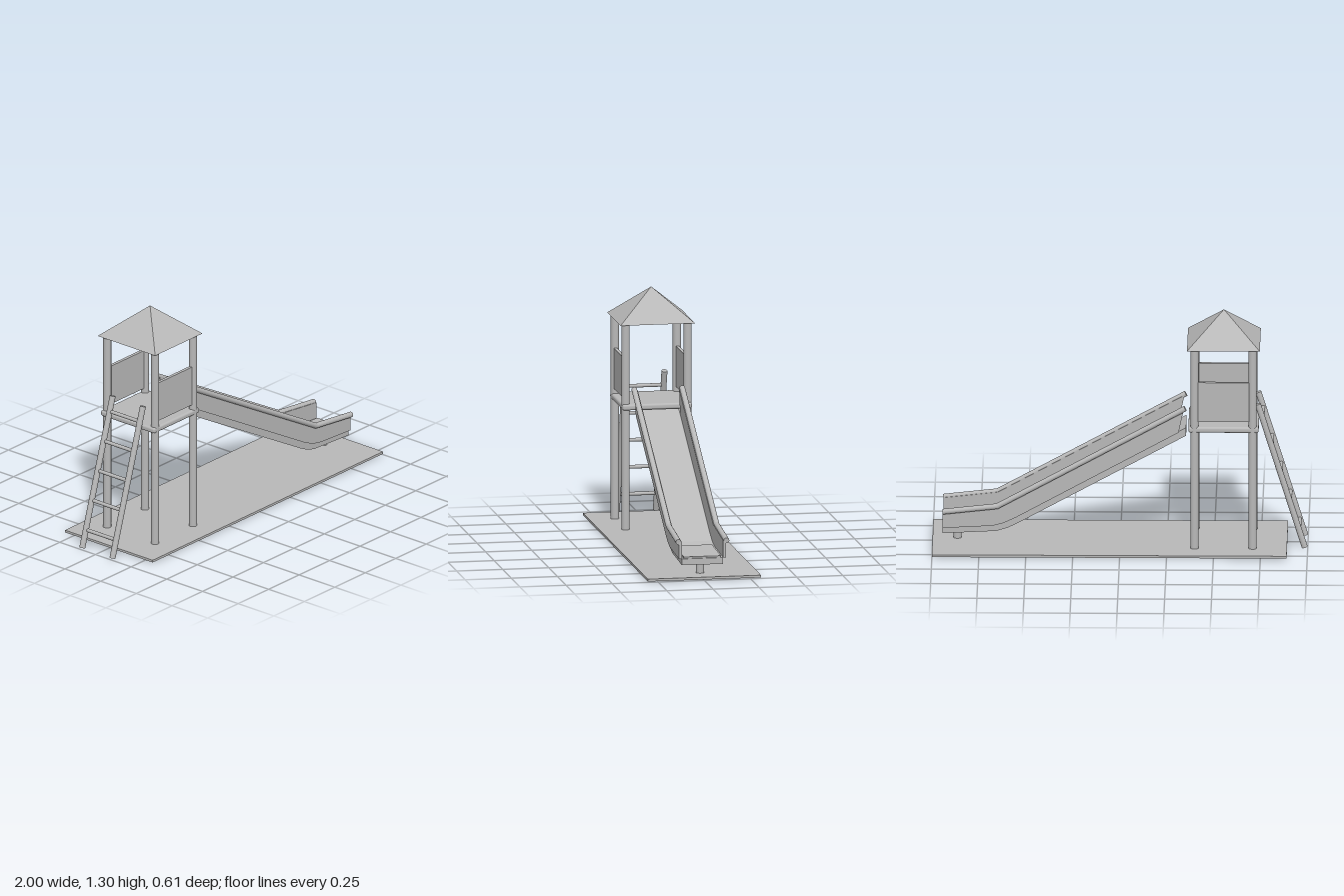
import * as THREE from 'three';
import { RoundedBoxGeometry } from 'three/addons/geometries/RoundedBoxGeometry.js';

export function createModel() {
  const model = new THREE.Group();
  model.name = 'playgroundSlide';
  const grey = new THREE.MeshStandardMaterial({ color: 0xb8b8b8 });
  grey.name = 'plainGrey';

  const add = (name, geometry, x = 0, y = 0, z = 0) => {
    const mesh = new THREE.Mesh(geometry, grey);
    mesh.name = name;
    mesh.position.set(x, y, z);
    model.add(mesh);
    return mesh;
  };
  // Round bar between two points
  const rod = (name, a, b, r) => {
    const from = new THREE.Vector3(...a), to = new THREE.Vector3(...b);
    const dir = to.clone().sub(from);
    const mesh = add(name, new THREE.CylinderGeometry(r, r, dir.length(), 24));
    mesh.position.copy(from).add(to).multiplyScalar(0.5);
    mesh.quaternion.setFromUnitVectors(new THREE.Vector3(0, 1, 0), dir.normalize());
  };
  // Side outline in x, y given a thickness along z
  const slab = (name, points, z, depth) => {
    const shape = new THREE.Shape(points.map(([x, y]) => new THREE.Vector2(x, y)));
    add(name, new THREE.ExtrudeGeometry(shape, { depth, bevelEnabled: false }), 0, 0, z - depth / 2);
  };

  // Ground plate
  add('groundPlate', new THREE.BoxGeometry(1.89, 0.013, 0.614), 0.055, 0.0115, 0);

  // Tower: posts, deck, side panels
  const towerX = -0.552;
  for (const side of [-1, 1]) {
    for (const x of [-0.707, -0.397]) {
      rod('towerPost', [x, 0.015, side * 0.168], [x, 1.132, side * 0.168], 0.022);
    }
    add('sidePanel', new THREE.BoxGeometry(0.29, 0.22, 0.018), towerX, 0.836, side * 0.168);
  }
  add('deck', new RoundedBoxGeometry(0.375, 0.032, 0.378, 3, 0.012), towerX, 0.683, 0);

  // Pyramid roof
  const roof = new THREE.ConeGeometry(Math.SQRT1_2, 0.17, 4, 1).toNonIndexed();
  roof.rotateY(Math.PI / 4);
  roof.scale(0.388, 1, 0.404);
  roof.computeVertexNormals();
  add('roof', roof, towerX, 1.215, 0);

  // Ladder
  const ladderX = y => -0.984 + (y - 0.005) * 0.3125;
  for (const side of [-1, 1]) {
    rod('ladderRail', [ladderX(0.005), 0.005, side * 0.106], [ladderX(0.805), 0.805, side * 0.106], 0.016);
  }
  for (let i = 0; i < 5; i++) {
    const y = 0.1 + i * 0.156;
    rod('ladderRung', [ladderX(y), y, -0.106], [ladderX(y), y, 0.106], 0.01);
  }

  // Slide bed
  slab('slideBed', [
    [-0.352, 0.628], [0.55, 0.132], [0.6, 0.108], [0.66, 0.09], [0.945, 0.076],
    [0.945, 0.11], [0.68, 0.124], [0.62, 0.14], [0.56, 0.168], [-0.352, 0.673],
  ], 0, 0.224);

  // Raised plate on the run-out
  const plate = add('runOutPlate', new THREE.BoxGeometry(0.255, 0.009, 0.2), 0.81, 0.121, 0);
  plate.rotation.z = -0.05;

  // Slide walls and rounded handrails
  const rail = [[-0.348, 0.786], [0.655, 0.234], [0.945, 0.202]];
  for (const side of [-1, 1]) {
    slab('slideWall', [
      [-0.312, 0.65], [0.56, 0.168], [0.62, 0.14], [0.68, 0.124], [0.945, 0.11],
      [0.945, 0.202], [0.655, 0.234], [-0.34, 0.781],
    ], side * 0.12, 0.016);
    const p = rail.map(([x, y]) => [x, y, side * 0.13]);
    rod('slideHandrail', p[0], p[1], 0.015);
    rod('slideHandrail', p[1], p[2], 0.015);
    add('handrailBend', new THREE.SphereGeometry(0.015, 20, 12), ...p[1]);
  }

  // Foot below the slide end
  rod('slideFoot', [0.868, 0.015, 0], [0.868, 0.085, 0], 0.022);

  return model;
}
